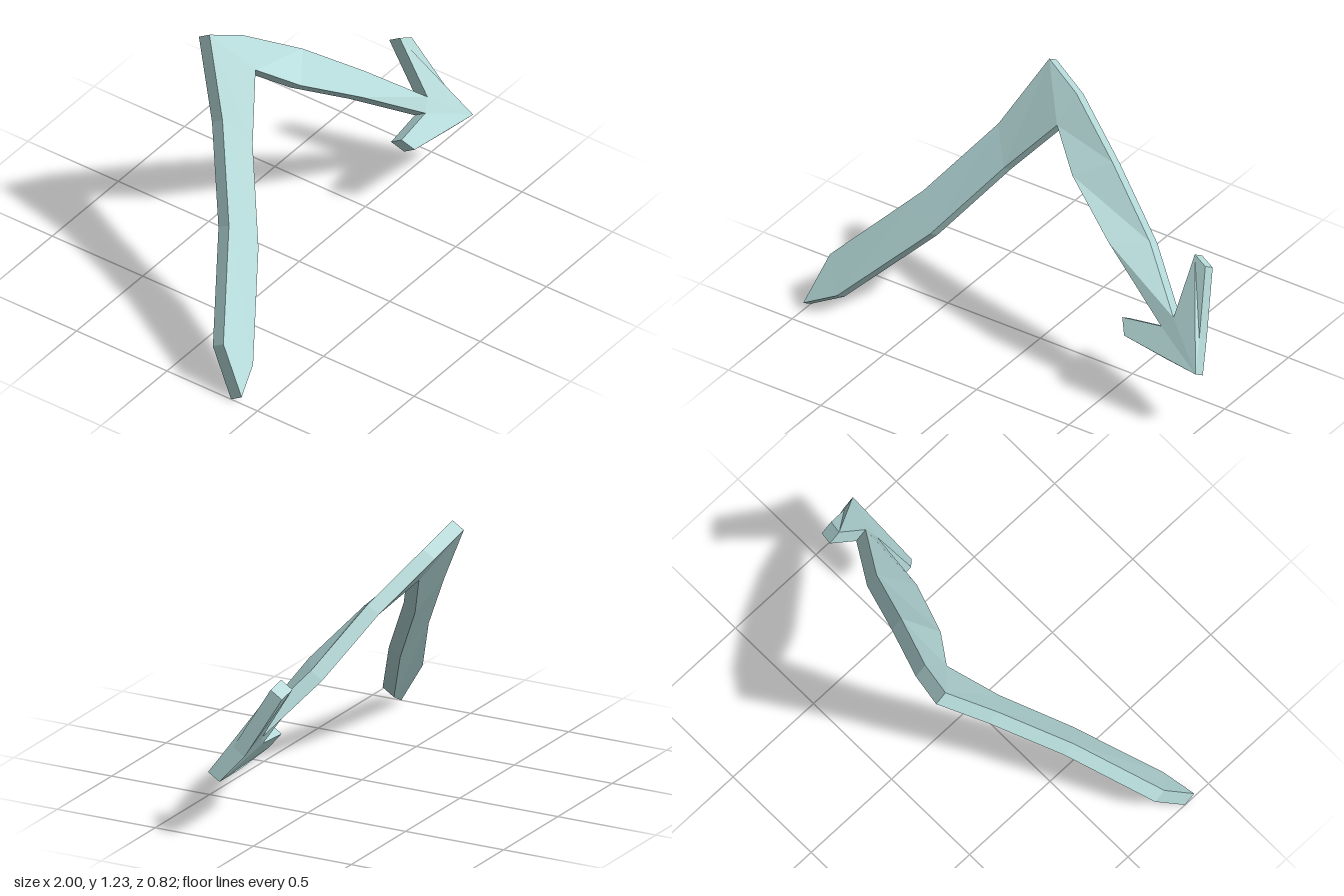
import * as THREE from 'three';

// Thickness direction, from the front face to the back face
const DEPTH = [0, -0.037, -0.058];

// Slab from a counter-clockwise front outline, its face triangles and its walled edges
function slab(outline, faces, isOpenEdge, material, name) {
  const back = outline.map((p) => p.map((v, i) => v + DEPTH[i]));
  const pos = [];
  const tri = (a, b, c) => pos.push(...a, ...b, ...c);
  for (const [a, b, c] of faces) {
    tri(outline[a], outline[b], outline[c]);
    tri(back[a], back[c], back[b]);
  }
  outline.forEach((p, i) => {
    if (isOpenEdge(i)) return;
    const j = (i + 1) % outline.length;
    tri(p, back[i], back[j]);
    tri(p, back[j], outline[j]);
  });
  const geometry = new THREE.BufferGeometry();
  geometry.setAttribute('position', new THREE.Float32BufferAttribute(pos, 3));
  geometry.computeVertexNormals();
  const mesh = new THREE.Mesh(geometry, material);
  mesh.name = name;
  return mesh;
}

export function createModel() {
  const group = new THREE.Group();
  group.name = 'bentArrow';
  const paleTeal = new THREE.MeshStandardMaterial({ color: 0xb4d9d8 });
  paleTeal.name = 'paleTeal';
  paleTeal.flatShading = true;

  // Where the shaft meets the head
  const neckLow = [0.755, 0.435, 0.145];
  const neckHigh = [0.805, 0.485, 0.12];

  // Shaft: matching points along its lower and upper edges
  const tip = [-1, 0.04, 0.412];
  const lower = [
    [-0.85, 0.11, 0.366], [-0.5, 0.45, 0.14], [-0.25, 0.78, -0.075],
    [-0.05, 1.015, -0.205], [0.12, 0.88, -0.078], [0.4, 0.7, 0.047], neckLow,
  ];
  const upper = [
    [-0.95, 0.245, 0.275], [-0.6, 0.595, 0.05], [-0.345, 0.93, -0.172],
    [-0.195, 1.235, -0.354], [-0.015, 1.145, -0.305], [0.27, 0.95, -0.178],
    [0.56, 0.705, -0.05], neckHigh,
  ];
  const shaft = [tip, ...lower, ...[...upper].reverse()];
  const lo = (i) => 1 + i;
  const up = (i) => shaft.length - 1 - i;
  const shaftFaces = [[0, lo(0), up(0)]];
  for (let i = 0; i < 3; i++) {
    shaftFaces.push([lo(i), lo(i + 1), up(i + 1)], [lo(i), up(i + 1), up(i)]);
  }
  shaftFaces.push([lo(3), up(4), up(3)]); // corner of the bend
  for (let i = 3; i < 6; i++) {
    shaftFaces.push([lo(i), lo(i + 1), up(i + 2)], [lo(i), up(i + 2), up(i + 1)]);
  }
  group.add(slab(shaft, shaftFaces, (i) => i === lo(6), paleTeal, 'shaft'));

  // Arrowhead: two barbs meeting at the outer corner
  const head = [
    neckLow, [0.555, 0.415, 0.16], [0.595, 0.355, 0.203], [0.84, 0.325, 0.216],
    [1, 0.315, 0.23], [0.952, 0.435, 0.13], [0.88, 0.71, -0.022],
    [0.812, 0.74, -0.038], neckHigh,
  ];
  const headFaces = THREE.ShapeUtils.triangulateShape(
    head.map(([x, y]) => new THREE.Vector2(x, y)), []);
  group.add(slab(head, headFaces, (i) => i === head.length - 1, paleTeal, 'arrowhead'));

  return group;
}
